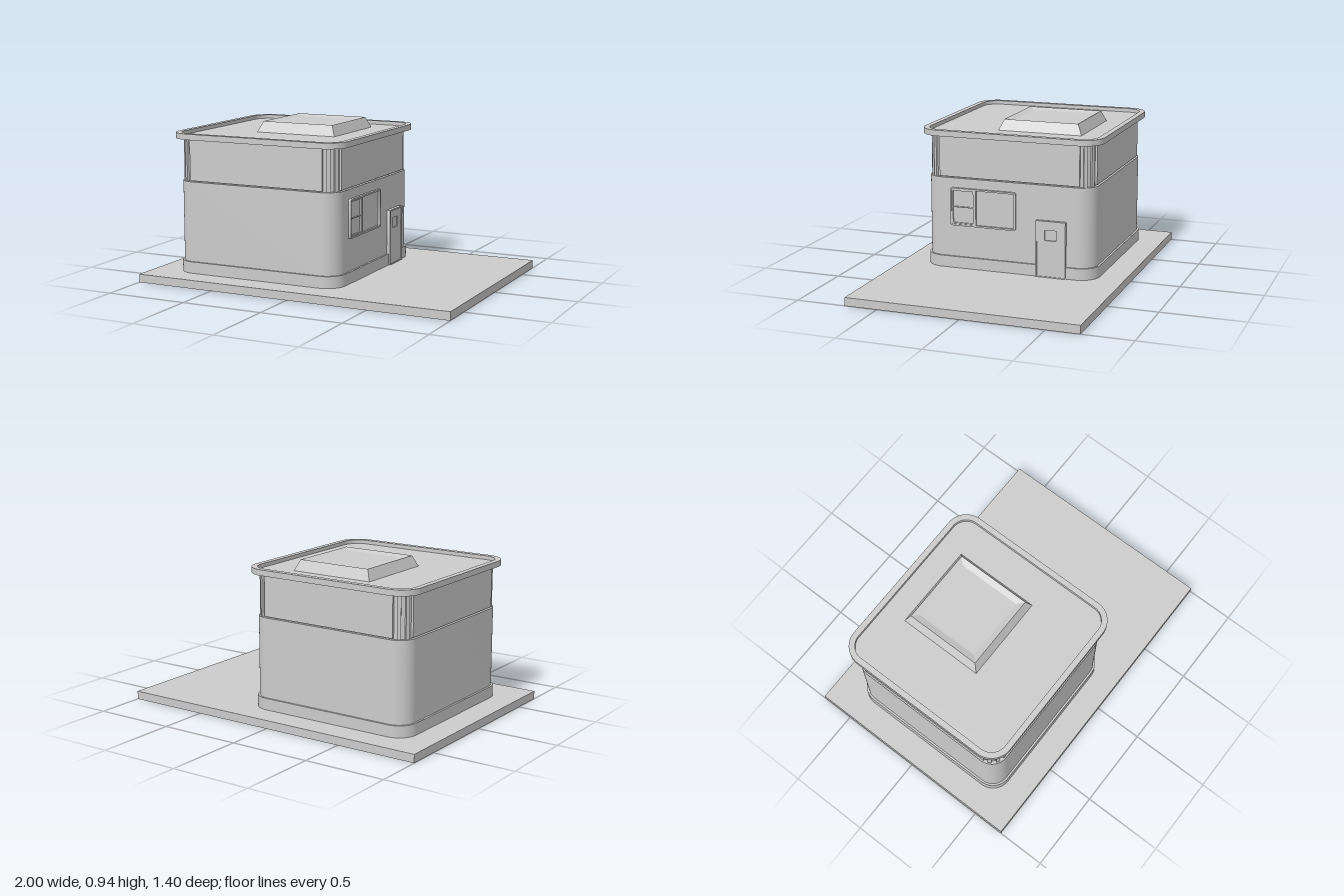
import * as THREE from 'three';
import { toCreasedNormals } from 'three/addons/utils/BufferGeometryUtils.js';

const material = new THREE.MeshStandardMaterial({ color: 0xcccccc });
const CX = -0.3; // building centre on x

function add(parent, name, geometry, x = 0, y = 0, z = 0) {
  const mesh = new THREE.Mesh(geometry, material);
  mesh.name = name;
  mesh.position.set(x, y, z);
  parent.add(mesh);
  return mesh;
}

// Rounded rectangle outline, given its edges and corner radius
function roundRect(x0, x1, y0, y1, r, path = new THREE.Shape()) {
  path.moveTo(x1, y0 + r);
  path.lineTo(x1, y1 - r);
  path.absarc(x1 - r, y1 - r, r, 0, Math.PI / 2);
  path.absarc(x0 + r, y1 - r, r, Math.PI / 2, Math.PI);
  path.absarc(x0 + r, y0 + r, r, Math.PI, Math.PI * 1.5);
  path.absarc(x1 - r, y0 + r, r, Math.PI * 1.5, Math.PI * 2);
  return path;
}

// Square storey with rounded corners from y0 to y1, optionally hollow
function storey(half, r, y0, y1, holeHalf, holeR) {
  const shape = roundRect(-half, half, -half, half, r);
  if (holeHalf) shape.holes.push(roundRect(-holeHalf, holeHalf, -holeHalf, holeHalf, holeR, new THREE.Path()));
  const geo = new THREE.ExtrudeGeometry(shape, { depth: y1 - y0, bevelEnabled: false, curveSegments: 12 });
  geo.rotateX(-Math.PI / 2).translate(0, y0, 0);
  return toCreasedNormals(geo, 0.5);
}

// Plate on the +x wall: edges [z0, z1, y0, y1], holes in the same form
function wallPlate(edges, r, x0, x1, holes = []) {
  const outline = ([z0, z1, y0, y1], radius, path) => roundRect(-z1, -z0, y0, y1, radius, path);
  const shape = outline(edges, r, new THREE.Shape());
  for (const h of holes) shape.holes.push(outline(h, 0.002, new THREE.Path()));
  const geo = new THREE.ExtrudeGeometry(shape, { depth: x1 - x0, bevelEnabled: false, curveSegments: 4 });
  geo.rotateY(Math.PI / 2).translate(x0, 0, 0);
  return toCreasedNormals(geo, 0.5);
}

// Skylight: square rings [half size, height], closed by a flat centre
function skylightGeometry(rings) {
  const pos = [];
  const corner = ([h, y], i) => [[h, y, h], [h, y, -h], [-h, y, -h], [-h, y, h]][i % 4];
  const quad = (a, b, c, d) => pos.push(...a, ...b, ...c, ...a, ...c, ...d);
  for (let k = 0; k < rings.length - 1; k++) {
    for (let i = 0; i < 4; i++) {
      quad(corner(rings[k], i), corner(rings[k], i + 1), corner(rings[k + 1], i + 1), corner(rings[k + 1], i));
    }
  }
  const top = rings[rings.length - 1];
  quad(corner(top, 0), corner(top, 1), corner(top, 2), corner(top, 3));
  const geo = new THREE.BufferGeometry();
  geo.setAttribute('position', new THREE.Float32BufferAttribute(pos, 3));
  geo.computeVertexNormals();
  return geo;
}

export function createModel() {
  const model = new THREE.Group();
  model.name = 'house';
  add(model, 'groundSlab', new THREE.BoxGeometry(2, 0.05, 1.4), 0, 0.025, 0);

  const building = new THREE.Group();
  building.name = 'building';
  building.position.x = CX;
  model.add(building);

  // Lower storey
  add(building, 'plinth', storey(0.542, 0.117, 0.05, 0.12));
  add(building, 'lowerWalls', storey(0.53, 0.105, 0.12, 0.605));

  // Upper storey: recessed core, one panel per side, two posts per corner
  add(building, 'upperCore', storey(0.51, 0.085, 0.605, 0.862));
  for (let side = 0; side < 4; side++) {
    const bay = new THREE.Group();
    bay.name = 'upperBay';
    bay.rotation.y = (side * Math.PI) / 2;
    building.add(bay);
    add(bay, 'upperPanel', new THREE.BoxGeometry(0.88, 0.25, 0.03), 0, 0.735, 0.507);
    for (const angle of [Math.PI / 6, Math.PI / 3]) {
      const post = add(bay, 'cornerPost', new THREE.BoxGeometry(0.022, 0.256, 0.03),
        0.425 + 0.082 * Math.sin(angle), 0.733, 0.425 + 0.082 * Math.cos(angle));
      post.rotation.y = angle;
    }
  }

  // Roof with a raised rim and a dished skylight
  add(building, 'roofDeck', storey(0.54, 0.105, 0.86, 0.872));
  add(building, 'roofRim', storey(0.565, 0.13, 0.86, 0.895, 0.53, 0.095));
  add(building, 'skylight', skylightGeometry([[0.265, 0.865], [0.233, 0.937], [0.195, 0.925]]), 0.065, 0, -0.125);

  // Window on the +x wall: narrow two-pane sash beside a wide pane
  const sideWindow = new THREE.Group();
  sideWindow.name = 'window';
  building.add(sideWindow);
  add(sideWindow, 'windowFrame', wallPlate([-0.052, 0.365, 0.315, 0.547], 0.014, 0.52, 0.546,
    [[-0.042, 0.2, 0.325, 0.537], [0.21, 0.355, 0.325, 0.537]]));
  add(sideWindow, 'sash', wallPlate([0.208, 0.357, 0.323, 0.539], 0.002, 0.52, 0.541,
    [[0.22, 0.348, 0.333, 0.428], [0.22, 0.348, 0.433, 0.529]]));
  add(sideWindow, 'glass', wallPlate([-0.045, 0.358, 0.322, 0.54], 0.002, 0.52, 0.533));

  // Door on the +x wall
  const door = new THREE.Group();
  door.name = 'door';
  building.add(door);
  add(door, 'doorFrame', wallPlate([-0.365, -0.18, 0.05, 0.394], 0.002, 0.52, 0.552,
    [[-0.356, -0.189, 0.054, 0.385]]));
  add(door, 'doorLeaf', wallPlate([-0.358, -0.187, 0.052, 0.387], 0.002, 0.52, 0.546,
    [[-0.308, -0.236, 0.275, 0.338]]));
  add(door, 'doorGlass', wallPlate([-0.31, -0.234, 0.273, 0.34], 0.002, 0.52, 0.537));

  return model;
}
